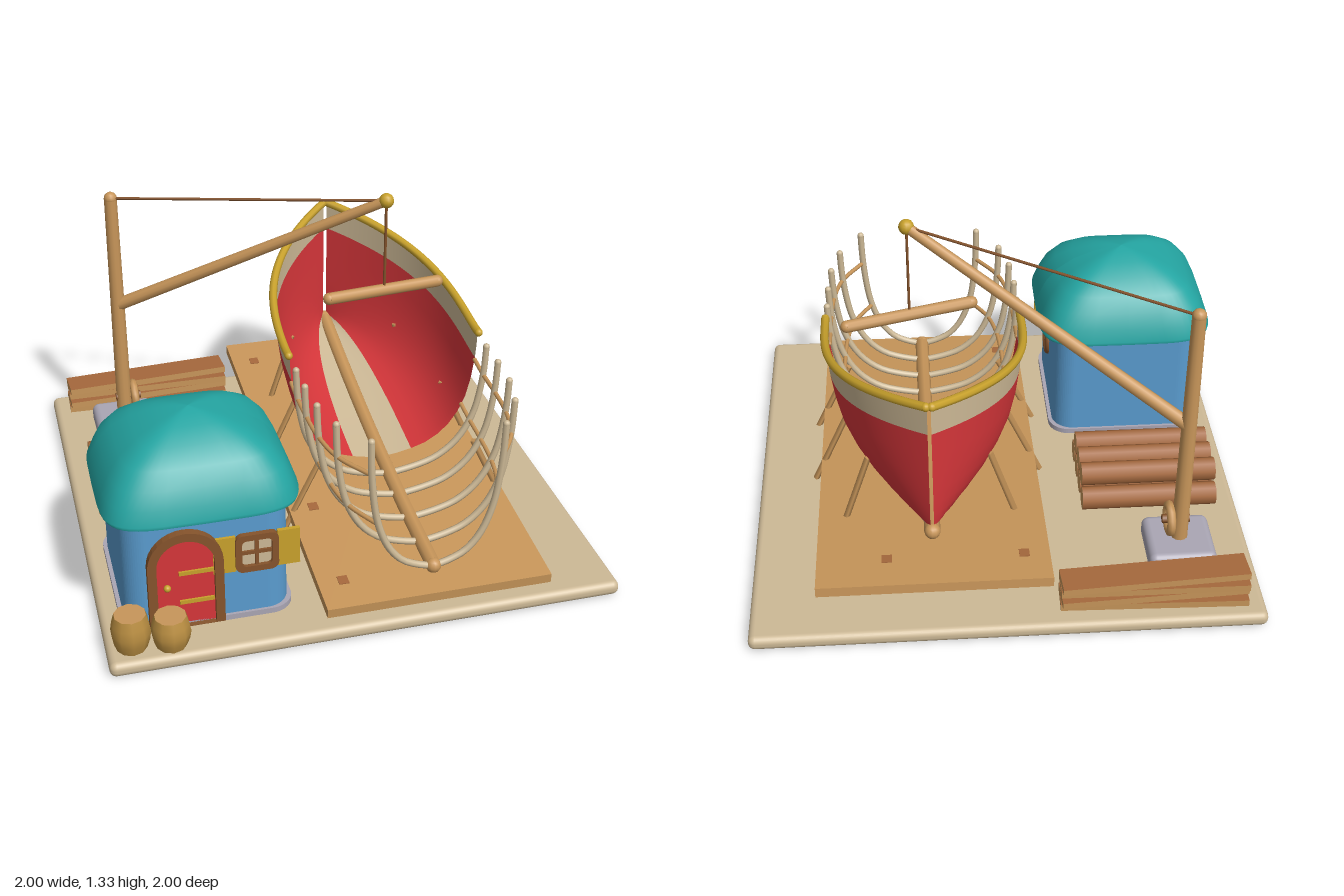
import * as THREE from 'three';
import { RoundedBoxGeometry } from 'three/addons/geometries/RoundedBoxGeometry.js';

const mat = (name, color, side = THREE.FrontSide) => {
  const m = new THREE.MeshStandardMaterial({ color, side });
  m.name = name;
  return m;
};
const V = (x, y, z) => new THREE.Vector3(x, y, z);

export function createModel() {
  const root = new THREE.Group();
  const D = THREE.DoubleSide;
  const sand = mat('sand', 0xcdb996, D), wood = mat('wood', 0xc8965a), red = mat('red', 0xd6363a, D);
  const gold = mat('gold', 0xc9a22c), teal = mat('teal', 0x24a5a2), blue = mat('blue', 0x5a9ccf);
  const brown = mat('darkBrown', 0x86542c), bark = mat('bark', 0xa5683c), stone = mat('stone', 0xaaa6b4);
  const barrelMat = mat('barrelWood', 0xbb8f42);

  const add = (name, geo, m, x = 0, y = 0, z = 0, parent = root) => {
    const mesh = new THREE.Mesh(geo, m);
    mesh.name = name;
    mesh.position.set(x, y, z);
    parent.add(mesh);
    return mesh;
  };
  const box = (name, w, h, d, m, x, y, z, parent) => add(name, new THREE.BoxGeometry(w, h, d), m, x, y, z, parent);
  const ball = (name, r, m, p) => add(name, new THREE.SphereGeometry(r, 12, 8), m, p.x, p.y, p.z);
  const rod = (name, a, b, r0, r1, m, sides = 10) => {
    const dir = b.clone().sub(a), mid = a.clone().add(b).multiplyScalar(0.5);
    const mesh = add(name, new THREE.CylinderGeometry(r1, r0, dir.length(), sides), m, mid.x, mid.y, mid.z);
    mesh.quaternion.setFromUnitVectors(V(0, 1, 0), dir.normalize());
    return mesh;
  };
  const tube = (name, pts, r, m, n = 30) => {
    add(name, new THREE.TubeGeometry(new THREE.CatmullRomCurve3(pts), n, r, 8), m);
    ball(name + 'End', r, m, pts[0]);
    ball(name + 'End', r, m, pts[pts.length - 1]);
  };
  // grid of points (rows x cols) to a smooth surface
  const grid = (rows) => {
    const n = rows[0].length, idx = [], g = new THREE.BufferGeometry();
    for (let i = 0; i < rows.length - 1; i++) for (let j = 0; j < n - 1; j++) {
      const a = i * n + j, b = a + n;
      idx.push(a, b, a + 1, b, b + 1, a + 1);
    }
    g.setFromPoints(rows.flat());
    g.setIndex(idx);
    g.computeVertexNormals();
    return g;
  };

  // ground slab and sloping slipway
  add('ground', new RoundedBoxGeometry(2, 0.06, 2, 3, 0.027), sand, 0, 0.03, 0);
  const ramp = box('slipway', 0.9, 0.04, 1.88, wood, 0.283, 0.16, -0.005);
  ramp.rotation.x = 0.08;
  for (const [x, z] of [[-0.35, -0.78], [-0.35, 0.33], [-0.35, 0.79], [0.18, -0.78]])
    box('plankKnot', 0.04, 0.004, 0.045, bark, x, 0.021, z, ramp);

  // hull lines: half width, keel height and sheer height along z
  const cx = 0.285, z0 = 0.13, z1 = -0.82;
  const bowT = (z) => Math.min(1, Math.max(0, (0.1 - z) / 0.92));
  const halfW = (z) => 0.392 * (z < 0.1 ? 1 - bowT(z) ** 2.8 : 1 - ((z - 0.1) / 0.9) ** 4.7);
  const keelY = (z) => { const s = 0.83 - z; return 0.15 + 0.057 * s + 0.061 * s * s; };
  const topY = (z) => 0.765 + 0.23 * bowT(z) ** 1.3 - (z > z0 ? 0.015 : 0);
  const hullPoint = (z, side, fx, fy) => {
    const t = bowT(z), k = keelY(z);
    const w = fx === 0 ? 0 : 0.007 + halfW(z) * fx ** (1 - 0.4 * t ** 4);
    return V(cx + side * w, k + (topY(z) - k) * fy, z);
  };
  const floor = [[0, 0], [0.15, 0.015], [0.31, 0.04]];
  const sides = [[0.31, 0.04], [0.46, 0.075], [0.6, 0.135], [0.72, 0.215], [0.82, 0.32], [0.9, 0.45], [0.95, 0.6], [0.985, 0.78]];
  const band = [[0.985, 0.78], [0.995, 0.89], [1, 1]];
  const stations = Array.from({ length: 29 }, (_, i) => z0 + (z1 - z0) * i / 28);
  for (const s of [-1, 1]) {
    for (const [name, prof, m] of [['hullFloor', floor, sand], ['hullSide', sides, red], ['hullTopBand', band, sand]]) {
      const rows = stations.map((z) => prof.map(([fx, fy]) => hullPoint(z, s, fx, fy)));
      add(name, grid(s > 0 ? rows : rows.map((r) => r.reverse())), m);
    }
    tube('gunwale', stations.map((z) => hullPoint(z, s, 1, 1).add(V(s * 0.004, -0.004, 0))), 0.017, gold, 40);
    // battens over the bare ribs
    for (const [fx, fy] of [[0.985, 0.76], [0.86, 0.38]])
      tube('batten', [0.82, 0.67, 0.52, 0.37, 0.24, 0.13].map((z) => hullPoint(z, s, fx, fy)), 0.009, wood);
    // shores propping the hull
    for (const z of [0.33, -0.08, -0.49]) {
      const top = hullPoint(z, s, 0.82, 0.32);
      const foot = V(cx + s * (halfW(z) + 0.09), 0.14 - 0.08 * z - 0.06, z);
      rod('shore', foot, top, 0.013, 0.013, wood, 4);
    }
  }
  const half = [...floor, ...sides.slice(1), ...band.slice(1)];
  for (const z of [0.82, 0.67, 0.52, 0.37, 0.235]) {
    const port = half.slice(1).reverse().map(([x, y]) => hullPoint(z, -1, x, y));
    tube('rib', [...port, ...half.map(([x, y]) => hullPoint(z, 1, x, y))], 0.014, sand, 48);
  }
  tube('keel', [0.82, 0.5, 0.13, -0.2, -0.5, -0.82].map((z) => V(cx, keelY(z), z)), 0.031, wood);

  // cottage walls and plinth
  const roundRect = (w, h, r) => {
    const s = new THREE.Shape();
    s.absarc(w - r, h - r, r, 0, Math.PI / 2);
    s.absarc(r - w, h - r, r, Math.PI / 2, Math.PI);
    s.absarc(r - w, r - h, r, Math.PI, Math.PI * 1.5);
    s.absarc(w - r, r - h, r, Math.PI * 1.5, Math.PI * 2);
    return s;
  };
  const extrude = (shape, depth) => new THREE.ExtrudeGeometry(shape, { depth, bevelEnabled: false, curveSegments: 8 });
  const hx = -0.597, hz = 0.515;
  add('walls', extrude(roundRect(0.314, 0.314, 0.09), 0.48).rotateX(-Math.PI / 2), blue, hx, 0.07, hz);
  add('plinth', extrude(roundRect(0.33, 0.325, 0.09), 0.025).rotateX(-Math.PI / 2), stone, hx, 0.058, hz);

  // domed roof from rounded-square rings
  const ring = (y, s) => Array.from({ length: 49 }, (_, i) => {
    const a = i / 48 * Math.PI * 2, c = Math.cos(a), d = Math.sin(a), p = 0.42;
    return V(hx + 0.376 * s * Math.sign(c) * Math.abs(c) ** p, y, hz + 0.01 + 0.343 * s * Math.sign(d) * Math.abs(d) ** p);
  });
  add('roofUnderside', grid([ring(0.53, 0), ring(0.53, 0.99)]), teal);
  add('roof', grid([[0.53, 0.99], [0.545, 1], [0.6, 0.945], [0.66, 0.87], [0.72, 0.74], [0.77, 0.55],
    [0.805, 0.32], [0.822, 0.14], [0.83, 0]].map(([y, s]) => ring(y, s))), teal);

  // arched door
  const arch = (w, h) => {
    const s = new THREE.Shape();
    s.moveTo(-w, 0); s.lineTo(w, 0); s.lineTo(w, h - w);
    s.absarc(0, h - w, w, 0, Math.PI);
    s.lineTo(-w, 0);
    return s;
  };
  const frame = arch(0.142, 0.42);
  const opening = new THREE.Path(arch(0.108, 0.385).getPoints(12).map((p) => p.setY(Math.max(p.y, 0.002))));
  frame.holes.push(opening);
  add('doorFrame', extrude(frame, 0.05), brown, -0.685, 0.075, 0.81);
  add('door', extrude(arch(0.11, 0.385), 0.03), red, -0.685, 0.078, 0.81);
  for (const y of [0.18, 0.31]) box('doorHinge', 0.13, 0.016, 0.008, gold, -0.645, y, 0.844);
  ball('doorKnob', 0.014, gold, V(-0.755, 0.255, 0.848));

  // square front window with shutters
  const win = new THREE.Group();
  win.name = 'frontWindow';
  win.position.set(-0.415, 0.357, 0.825);
  const wf = roundRect(0.082, 0.082, 0.03);
  wf.holes.push(new THREE.Path(roundRect(0.057, 0.057, 0.018).getPoints(6)));
  add('windowFrame', extrude(wf, 0.025), brown, 0, 0, 0, win);
  box('windowPane', 0.12, 0.12, 0.008, sand, 0, 0, 0.006, win);
  box('windowBar', 0.014, 0.12, 0.014, brown, 0, 0, 0.012, win);
  box('windowBar', 0.12, 0.014, 0.014, brown, 0, 0, 0.012, win);
  for (const s of [-1, 1]) box('shutter', 0.085, 0.155, 0.016, gold, s * 0.122, 0, 0.008, win);
  root.add(win);

  // round side window
  const port = new THREE.Group();
  port.name = 'roundWindow';
  port.position.set(-0.28, 0.357, 0.53);
  port.rotation.y = Math.PI / 2;
  add('roundFrame', new THREE.TorusGeometry(0.065, 0.014, 8, 20), brown, 0, 0, 0, port);
  add('roundPane', new THREE.CircleGeometry(0.065, 20), sand, 0, 0, 0.002, port);
  box('roundBar', 0.014, 0.13, 0.014, brown, 0, 0, 0.004, port);
  box('roundBar', 0.13, 0.014, 0.014, brown, 0, 0, 0.004, port);
  root.add(port);

  // barrels
  for (const [x, z, h] of [[-0.905, 0.9, 0.148], [-0.76, 0.922, 0.13]]) {
    const prof = [[0.058, 0], [0.07, 0.25], [0.076, 0.5], [0.07, 0.75], [0.06, 1]];
    add('barrel', new THREE.LatheGeometry(prof.map(([r, y]) => new THREE.Vector2(r, y * h)), 10), barrelMat, x, 0.06, z);
    add('barrelLid', new THREE.CylinderGeometry(0.06, 0.06, 0.008, 10), wood, x, 0.056 + h, z);
  }

  // log pile
  for (const [y, zs] of [[0.105, [0.01, -0.095, -0.2, -0.31]], [0.19, [-0.045, -0.15, -0.255]]])
    for (const z of zs)
      add('log', new THREE.CylinderGeometry(0.049, 0.049, 0.56, 9), [bark, wood, wood], -0.63, y, z).rotation.z = Math.PI / 2;

  // stacked planks
  for (let i = 0; i < 4; i++)
    box('plank', 0.73, 0.028, 0.12, [wood, wood, bark, bark, wood, wood], -0.565, 0.078 + i * 0.036, -0.875)
      .rotation.y = [-0.03, 0.05, -0.01, 0.06][i];

  // crane
  const tip = V(0.34, 1.3, -0.075), head = V(-0.705, 1.2, -0.615);
  add('craneFooting', new RoundedBoxGeometry(0.27, 0.09, 0.265, 3, 0.03), stone, -0.705, 0.105, -0.615);
  rod('craneMast', V(-0.705, 0.12, -0.615), head, 0.034, 0.027, wood, 12);
  ball('mastCap', 0.028, wood, head);
  rod('craneBoom', V(-0.705, 0.7, -0.615), tip, 0.028, 0.021, wood);
  ball('boomTip', 0.031, gold, tip);
  rod('stayRope', head, tip, 0.006, 0.006, brown, 6);
  rod('hoistRope', V(0.34, 0.9, -0.075), tip, 0.006, 0.006, brown, 6);
  add('winchWheel', new THREE.TorusGeometry(0.055, 0.018, 8, 12), wood, -0.66, 0.24, -0.615).rotation.y = Math.PI / 2;
  rod('winchAxle', V(-0.74, 0.24, -0.615), V(-0.63, 0.24, -0.615), 0.018, 0.018, brown, 8);
  const beamA = V(0.09, 0.915, -0.025), beamB = V(0.59, 0.888, -0.13);
  rod('hangingBeam', beamA, beamB, 0.025, 0.025, wood);
  ball('beamEnd', 0.025, wood, beamA);
  ball('beamEnd', 0.025, wood, beamB);
  return root;
}
